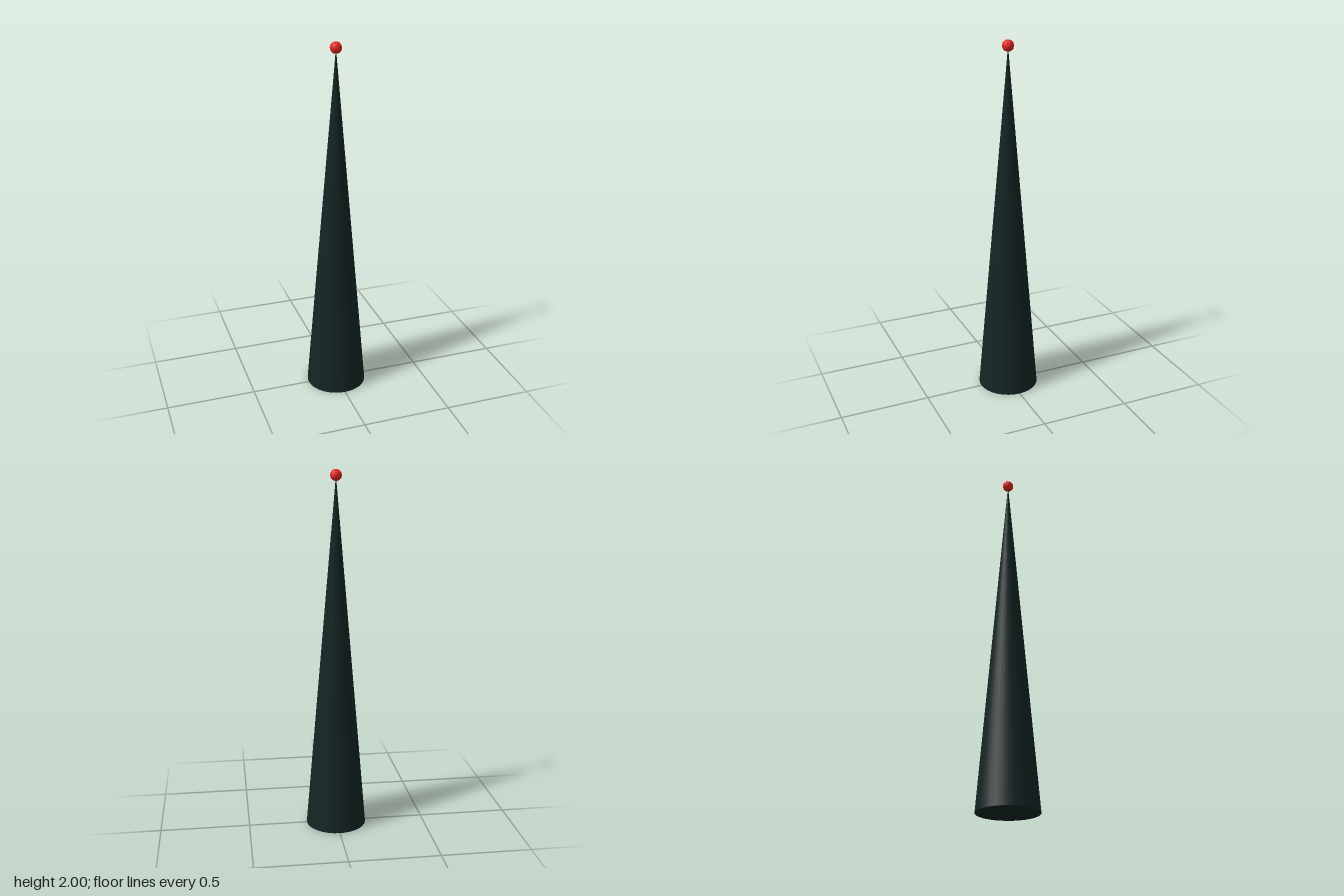
import * as THREE from 'three';

export function createModel() {
  const model = new THREE.Group();
  const coneHeight = 1.968, coneRadius = 0.169, ballRadius = 0.032;

  // Tall dark cone with a closed base
  const cone = new THREE.Mesh(
    new THREE.ConeGeometry(coneRadius, coneHeight, 32),
    new THREE.MeshStandardMaterial({ color: 0x142423 })
  );
  cone.name = 'cone';
  cone.position.y = coneHeight / 2;
  model.add(cone);

  // Faceted red ball on the tip, turned so that a vertex points straight up
  const ballGeometry = new THREE.IcosahedronGeometry(ballRadius, 1);
  ballGeometry.rotateX(-Math.atan((1 + Math.sqrt(5)) / 2));
  ballGeometry.rotateY(Math.PI / 2);
  const ball = new THREE.Mesh(
    ballGeometry,
    new THREE.MeshStandardMaterial({ color: 0xe0261f, flatShading: true })
  );
  ball.name = 'tipBall';
  ball.position.y = 2 - ballRadius;
  model.add(ball);

  return model;
}
